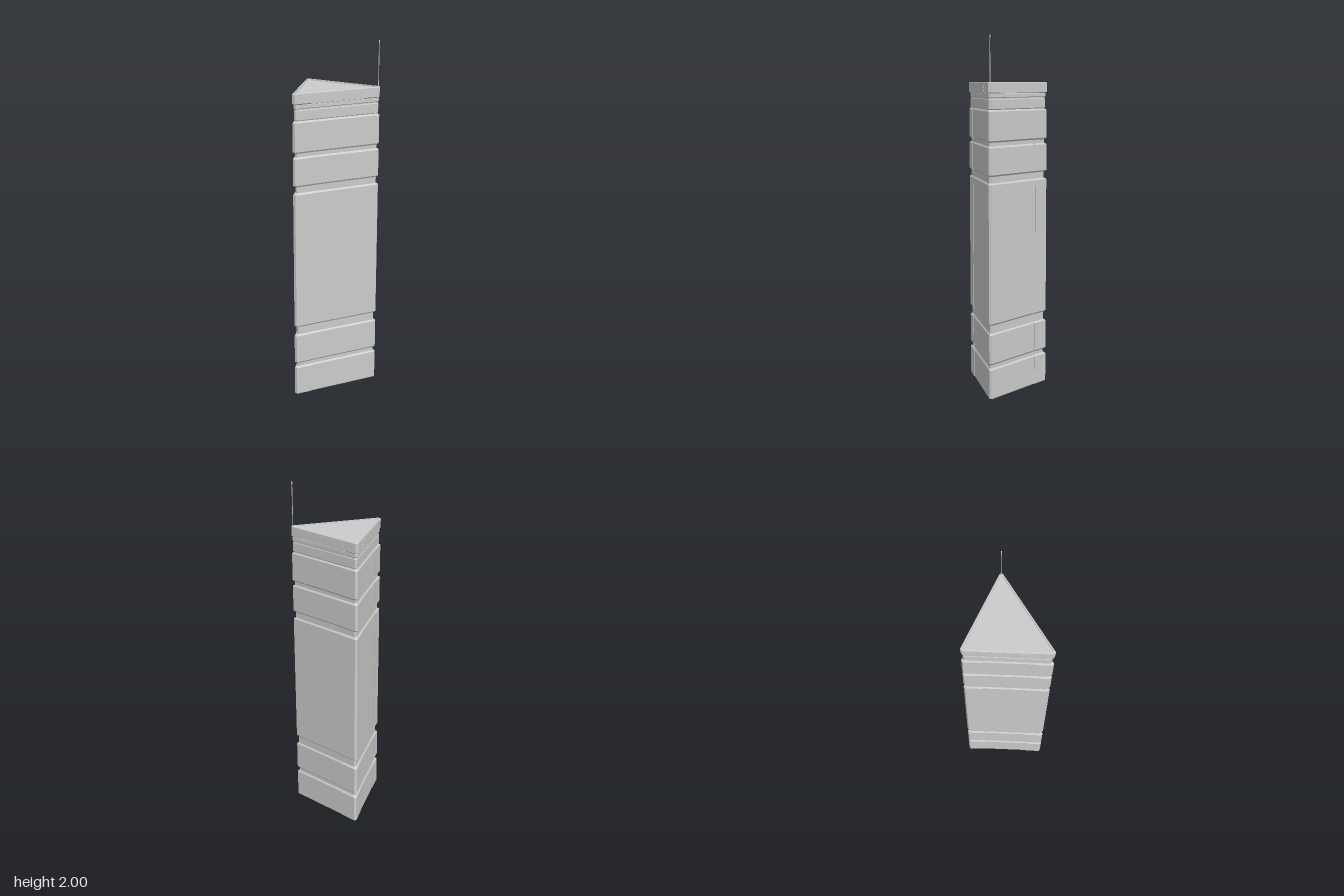
import * as THREE from 'three';

const mat = new THREE.MeshStandardMaterial({ color: 0xcccccc, flatShading: true });

// Outlines as [x, z], clockwise seen from above
const OUTER = [[-0.008, -0.2], [0.008, -0.2], [0.258, 0.18], [0.25, 0.195], [-0.253, 0.196], [-0.26, 0.182]];
const BODY = [[-0.006, -0.196], [0.006, -0.196], [0.258, 0.18], [0.25, 0.193], [-0.25, 0.193], [-0.255, 0.18]];
const BACK_TRIM = [[-0.008, -0.2], [0.008, -0.2], [0.06, -0.121], [-0.058, -0.121]];
const LEFT_TRIM = [[-0.165, 0.196], [-0.253, 0.196], [-0.26, 0.182], [-0.212, 0.11]];
// Heights of the cladding panels
const PANELS = [[0, 0.175], [0.195, 0.375], [0.42, 1.21], [1.245, 1.41], [1.43, 1.605]];
const CENTRE_Z = 0.062, INRADIUS = 0.133, GROOVE = 0.006, BEVEL = 0.009;

// Stacks an outline through [height, inset] levels and caps both ends
function loft(name, outline, levels) {
  const rings = levels.map(([y, inset]) => {
    const s = 1 - inset / INRADIUS;
    return outline.map(([x, z]) => [x * s, y, CENTRE_Z + (z - CENTRE_Z) * s]);
  });
  const pos = [], n = outline.length;
  const tri = (a, b, c) => pos.push(...a, ...b, ...c);
  for (let r = 0; r < rings.length - 1; r++) {
    const lo = rings[r], hi = rings[r + 1];
    for (let i = 0; i < n; i++) {
      const j = (i + 1) % n;
      tri(lo[j], lo[i], hi[i]);
      tri(lo[j], hi[i], hi[j]);
    }
  }
  const bottom = rings[0], top = rings[rings.length - 1];
  for (let i = 1; i < n - 1; i++) {
    tri(bottom[0], bottom[i], bottom[i + 1]);
    tri(top[0], top[i + 1], top[i]);
  }
  const geo = new THREE.BufferGeometry();
  geo.setAttribute('position', new THREE.Float32BufferAttribute(pos, 3));
  geo.computeVertexNormals();
  const mesh = new THREE.Mesh(geo, mat);
  mesh.name = name;
  return mesh;
}

// A panel between two heights with bevelled upper and lower edges
const panelLevels = ([y0, y1]) => [
  [y0, y0 === 0 ? 0.002 : GROOVE], [y0 + (y0 === 0 ? 0.004 : BEVEL), 0], [y1 - BEVEL, 0], [y1, GROOVE],
];

export function createModel() {
  const group = new THREE.Group();

  // Grooved triangular column, with the slightly recessed neck under the head
  group.add(loft('column', BODY, [
    ...PANELS.flatMap(panelLevels),
    [1.61, 0.003], [1.66, 0.003], [1.663, 0.005], [1.669, 0.005], [1.672, 0.002], [1.69, 0.002], [1.7, 0.006],
  ]));

  // Raised trims wrapping the back and left corners
  const trims = new THREE.Group();
  trims.name = 'cornerTrims';
  for (const span of PANELS) {
    trims.add(loft('backCornerTrim', BACK_TRIM, panelLevels(span)));
    trims.add(loft('leftCornerTrim', LEFT_TRIM, panelLevels(span)));
  }
  group.add(trims);

  // Head with a rim around its sunken roof
  group.add(loft('head', OUTER, [
    [1.692, 0.005], [1.698, 0], [1.75, 0], [1.753, 0.002], [1.753, 0.008], [1.746, 0.009],
  ]));

  // Thin trapezoid plaque on each face of the head
  const plaque = new THREE.Shape([[-0.16, 1.695], [0.16, 1.695], [0.13, 1.742], [-0.13, 1.742]]
    .map(([x, y]) => new THREE.Vector2(x, y)));
  const plaqueGeo = new THREE.ExtrudeGeometry(plaque, { depth: 0.003, bevelEnabled: false });
  for (const [a, b] of [[3, 4], [1, 2], [5, 0]]) {
    const [ax, az] = OUTER[a], [bx, bz] = OUTER[b];
    const mesh = new THREE.Mesh(plaqueGeo, mat);
    const angle = Math.atan2(bz - az, -(bx - ax));
    mesh.rotation.y = angle;
    mesh.position.set((ax + bx) / 2 - 0.0015 * Math.sin(angle), 0, (az + bz) / 2 - 0.0015 * Math.cos(angle));
    mesh.name = 'headPlaque';
    group.add(mesh);
  }

  // Thin antenna on the left front corner
  const antenna = new THREE.Group();
  antenna.name = 'antenna';
  const rod = (r, y0, y1) => {
    const mesh = new THREE.Mesh(new THREE.CylinderGeometry(r, r, y1 - y0, 8), mat);
    mesh.position.y = (y0 + y1) / 2;
    antenna.add(mesh);
    return mesh;
  };
  rod(0.002, 1.72, 1.99).name = 'antennaRod';
  rod(0.003, 1.985, 2).name = 'antennaTip';
  antenna.position.set(0.248, 0, 0.183);
  group.add(antenna);

  return group;
}
